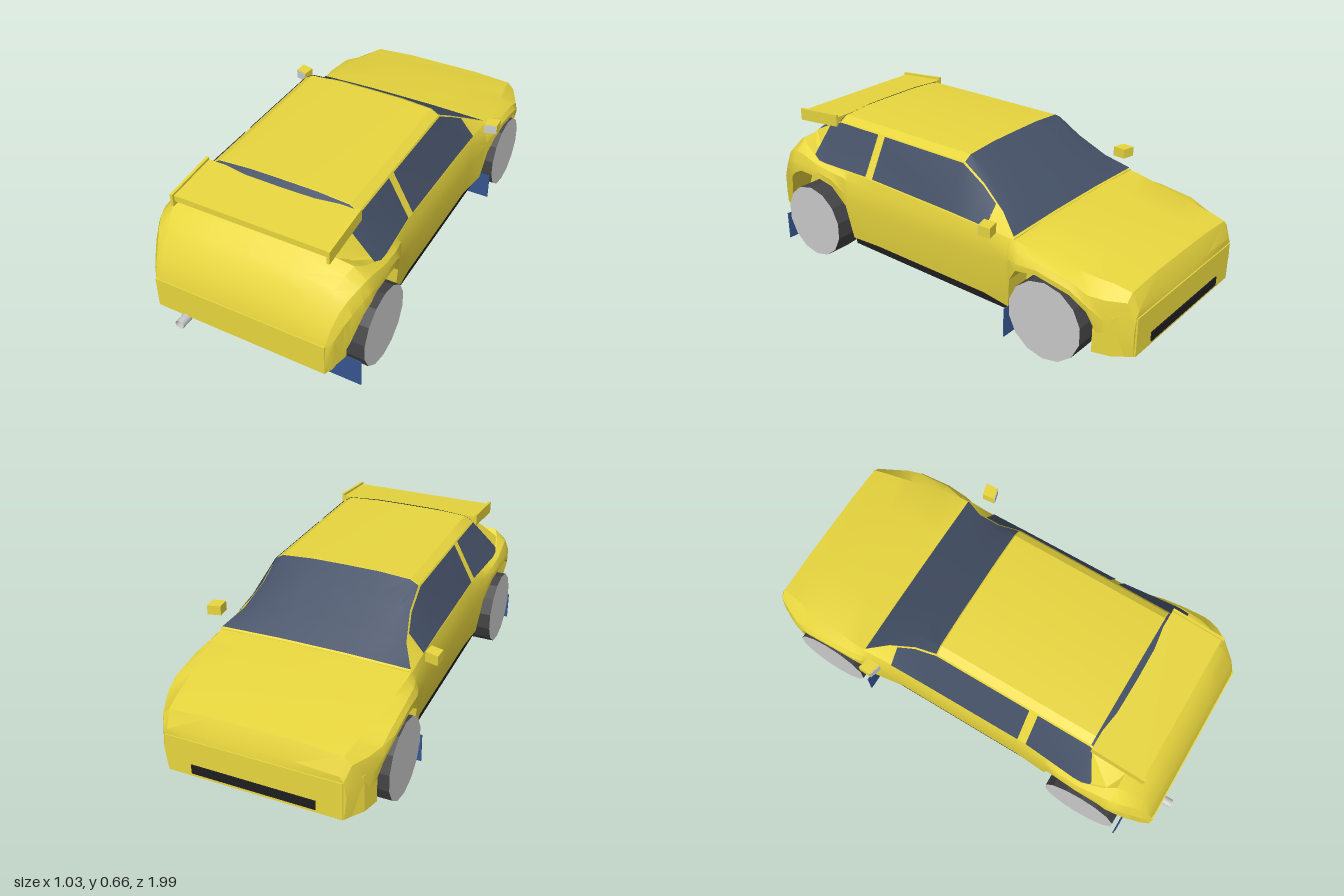
import * as THREE from 'three';
import { toCreasedNormals } from 'three/addons/utils/BufferGeometryUtils.js';

const paint = (color, side = THREE.FrontSide) => new THREE.MeshStandardMaterial({ color, side });
const YELLOW = paint(0xe8d63e);
const GLASS = paint(0x445066, THREE.DoubleSide);
const BLUE = paint(0x35558f);
const DARK = paint(0x1e1e20);
const TYRE = paint(0x444446);
const GREY = paint(0xcccccc);
const PIPE = paint(0xcccccc, THREE.DoubleSide);

// Skins rows of points; rows run along +z, points run counter-clockwise seen from +z.
function loft(rows, closed = false) {
  const n = rows[0].length, pos = rows.flat(2), idx = [];
  for (let i = 0; i < rows.length - 1; i++) {
    for (let j = 0; j < (closed ? n : n - 1); j++) {
      const k = (j + 1) % n, a = i * n + j, b = i * n + k;
      idx.push(a, b, b + n, a, b + n, a + n);
    }
  }
  if (closed) {
    [0, rows.length - 1].forEach((r) => {
      const c = pos.length / 3, row = rows[r];
      pos.push(0, row.reduce((s, p) => s + p[1], 0) / n, row[0][2]);
      for (let j = 0; j < n; j++) {
        const a = r * n + j, b = r * n + ((j + 1) % n);
        if (r) idx.push(c, a, b);
        else idx.push(c, b, a);
      }
    });
  }
  const g = new THREE.BufferGeometry();
  g.setAttribute('position', new THREE.Float32BufferAttribute(pos, 3));
  g.setIndex(idx);
  return toCreasedNormals(g, 0.4);
}

const flip = (row) => row.map(([x, y, z]) => [-x, y, z]).reverse();
// Mirrors a half section whose last point lies on the centre line.
const whole = (half) => [...half, ...flip(half).slice(1)];

// Body stations: z, arch/sill edge y x, side x y, shoulder x y, top edge x y, centre y
const BODY_FRONT = [
  [-0.98, 0.10, 0.37, 0.38, 0.20, 0.37, 0.27, 0.355, 0.29, 0.30],
  [-0.95, 0.10, 0.39, 0.40, 0.22, 0.39, 0.33, 0.36, 0.36, 0.372],
  [-0.88, 0.12, 0.42, 0.435, 0.25, 0.425, 0.33, 0.37, 0.375, 0.383],
  [-0.82, 0.27, 0.455, 0.46, 0.30, 0.45, 0.34, 0.38, 0.38, 0.395],
  [-0.75, 0.325, 0.47, 0.47, 0.345, 0.455, 0.37, 0.39, 0.39, 0.405],
  [-0.60, 0.35, 0.47, 0.47, 0.37, 0.455, 0.39, 0.41, 0.41, 0.425],
  [-0.50, 0.33, 0.465, 0.465, 0.36, 0.45, 0.395, 0.42, 0.425, 0.435],
  [-0.46, 0.27, 0.45, 0.455, 0.36, 0.44, 0.40, 0.42, 0.43, 0.44],
  [-0.44, 0.13, 0.43, 0.45, 0.33, 0.435, 0.40, 0.42, 0.433, 0.44],
  [-0.30, 0.13, 0.41, 0.43, 0.30, 0.425, 0.40, 0.415, 0.437, 0.437],
  [0.30, 0.13, 0.41, 0.43, 0.30, 0.425, 0.40, 0.415, 0.45, 0.45],
  [0.45, 0.13, 0.42, 0.445, 0.33, 0.44, 0.42, 0.425, 0.455, 0.455],
];
const BODY_REAR = [
  [0.47, 0.29, 0.44, 0.45, 0.36, 0.445, 0.43, 0.43, 0.455, 0.455],
  [0.53, 0.375, 0.46, 0.465, 0.41, 0.455, 0.44, 0.435, 0.46, 0.46],
  [0.62, 0.40, 0.47, 0.47, 0.425, 0.46, 0.455, 0.445, 0.467, 0.467],
  [0.72, 0.40, 0.47, 0.47, 0.43, 0.455, 0.48, 0.42, 0.51, 0.52],
  [0.76, 0.38, 0.47, 0.47, 0.43, 0.45, 0.48, 0.40, 0.53, 0.556],
  [0.80, 0.35, 0.46, 0.46, 0.42, 0.44, 0.47, 0.385, 0.51, 0.53],
  [0.85, 0.23, 0.43, 0.44, 0.38, 0.42, 0.44, 0.37, 0.47, 0.485],
  [0.88, 0.17, 0.41, 0.425, 0.35, 0.405, 0.405, 0.365, 0.435, 0.45],
  [0.92, 0.14, 0.395, 0.405, 0.30, 0.39, 0.35, 0.36, 0.365, 0.375],
  [0.95, 0.14, 0.38, 0.385, 0.20, 0.38, 0.27, 0.36, 0.28, 0.285],
];
const bodyRow = ([z, by, bx, mx, my, ux, uy, tx, ty, cy]) => whole([
  [0.33, z > 0.84 ? 0.14 : 0.10, z], [0.33, by, z], [bx, by, z], [mx, my, z],
  [ux, uy, z], [tx, ty, z], [tx / 2, cy, z], [0, cy, z],
]);

// Cabin stations: z, then belt, roof edge, roof shoulder, roof and centre points
const CABIN = [
  [-0.46, [0.425, 0.432], [0.42, 0.435], [0.30, 0.438], [0.15, 0.442], [0, 0.442]],
  [-0.36, [0.42, 0.434], [0.362, 0.492], [0.29, 0.504], [0.15, 0.509], [0, 0.51]],
  [-0.24, [0.42, 0.437], [0.33, 0.565], [0.29, 0.58], [0.15, 0.589], [0, 0.59]],
  [-0.13, [0.42, 0.44], [0.325, 0.632], [0.29, 0.653], [0.15, 0.663], [0, 0.664]],
  [0.35, [0.42, 0.452], [0.325, 0.63], [0.29, 0.651], [0.15, 0.661], [0, 0.662]],
  [0.585, [0.44, 0.458], [0.325, 0.628], [0.29, 0.649], [0.15, 0.659], [0, 0.66]],
  [0.76, [0.44, 0.48], [0.325, 0.543], [0.29, 0.552], [0.15, 0.557], [0, 0.558]],
];
const lerp = (a, b, t) => a + (b - a) * t;
function cabinAt(z) {
  let i = 0;
  while (i < CABIN.length - 2 && z > CABIN[i + 1][0]) i++;
  const [z0, ...a] = CABIN[i], [z1, ...b] = CABIN[i + 1], t = (z - z0) / (z1 - z0);
  return a.map((p, k) => [lerp(p[0], b[k][0], t), lerp(p[1], b[k][1], t), z]);
}
// Side glass between belt and roof edge, standing just proud of the cabin
function sideGlass(z) {
  const [b, e] = cabinAt(z);
  return [0.03, 0.97].map((t) => [lerp(b[0], e[0], t) + 0.004, lerp(b[1], e[1], t) + 0.002, z]);
}
// Front or rear glass across the cabin
const topGlass = (z) => whole(cabinAt(z).slice(1).map(([x, y]) => [x, y + 0.004, z]));

// Plan outline (x, z) raised from y0 to y1
function slab(points, y0, y1) {
  const s = new THREE.Shape(points.map(([x, z]) => new THREE.Vector2(x, -z)));
  return new THREE.ExtrudeGeometry(s, { depth: y1 - y0, bevelEnabled: false })
    .rotateX(-Math.PI / 2).translate(0, y0, 0);
}
// Side outline (z, y) with a thickness in x
function plate(points, x0, x1) {
  const s = new THREE.Shape(points.map(([z, y]) => new THREE.Vector2(-z, y)));
  return new THREE.ExtrudeGeometry(s, { depth: x1 - x0, bevelEnabled: false })
    .rotateY(Math.PI / 2).translate(x0, 0, 0);
}

export function createModel() {
  const car = new THREE.Group();
  car.name = 'car';
  const add = (name, geo, mat, x = 0, y = 0, z = 0) => {
    const m = new THREE.Mesh(geo, mat);
    m.name = name;
    m.position.set(x, y, z);
    car.add(m);
    return m;
  };
  const box = (w, h, d) => new THREE.BoxGeometry(w, h, d);

  // Shell and cabin
  add('body', loft([...BODY_FRONT, ...BODY_REAR].map(bodyRow), true), YELLOW);
  add('cabin', loft(CABIN.map(([z]) => whole(cabinAt(z))), true), YELLOW);
  add('floor', box(0.81, 0.034, 0.89), DARK, 0, 0.113, 0.005);
  add('floorPan', box(0.65, 0.04, 1.62), DARK, 0, 0.115, 0);

  // Glass
  add('windscreen', loft([-0.455, -0.36, -0.24, -0.135].map(topGlass)), GLASS);
  add('rearWindow', loft([0.59, 0.745].map(topGlass)), GLASS);
  const panes = { doorWindow: [-0.32, -0.24, -0.13, 0.31], rearSideWindow: [0.35, 0.585, 0.66] };
  for (const [name, zs] of Object.entries(panes)) {
    const rows = zs.map(sideGlass);
    add(name + 'Left', loft(rows), GLASS);
    add(name + 'Right', loft(rows.map(flip)), GLASS);
  }

  // Bumpers and grille
  add('rearBumper', slab([[-0.41, 0.84], [-0.38, 0.955], [0.38, 0.955], [0.41, 0.84]], 0.14, 0.28), YELLOW);
  add('frontBumper', slab([[0.44, -0.84], [0.42, -0.91], [0.365, -0.985],
    [-0.365, -0.985], [-0.42, -0.91], [-0.44, -0.84]], 0.10, 0.265), YELLOW);
  add('grille', box(0.52, 0.04, 0.02), DARK, 0, 0.135, -0.98);

  // Spoiler with end plates
  const wing = [[0.60, 0.62], [0.83, 0.60], [0.83, 0.627], [0.60, 0.647]];
  add('spoiler', plate(wing, -0.335, 0.335), YELLOW);
  const end = [[0.60, 0.605], [0.84, 0.58], [0.84, 0.635], [0.60, 0.658]];
  for (const s of [-1, 1]) add('spoilerEndPlate', plate(end, -0.006, 0.006), YELLOW, s * 0.339);

  for (const s of [-1, 1]) {
    // Wheels with a pale outer face, and mud flaps
    const faces = s > 0 ? [TYRE, TYRE, GREY] : [TYRE, GREY, TYRE];
    for (const [z, flapZ] of [[0.655, 0.845], [-0.645, -0.455]]) {
      const wheel = new THREE.CylinderGeometry(0.168, 0.168, 0.13, 14);
      wheel.rotateY(Math.PI / 14).rotateZ(Math.PI / 2);
      add('wheel', toCreasedNormals(wheel, 0.3), faces, s * 0.41, 0.168, z);
      add('mudFlap', box(0.15, 0.128, 0.004), BLUE, s * 0.40, 0.082, flapZ);
    }

    // Door mirrors
    const plan = [[0.455, -0.40], [0.46, -0.345], [0.515, -0.36], [0.512, -0.415]];
    add('mirrorHousing', slab(plan.map(([x, z]) => [s * x, z]), 0.457, 0.50), YELLOW);
    add('mirrorGlass', box(0.053, 0.038, 0.006), GREY, s * 0.4875, 0.478, -0.352).rotation.y = s * 0.266;
  }

  // Exhaust
  const pipe = new THREE.CylinderGeometry(0.02, 0.02, 0.11, 12, 1, true).rotateX(Math.PI / 2);
  add('exhaust', pipe, PIPE, -0.25, 0.128, 0.945);
  return car;
}
